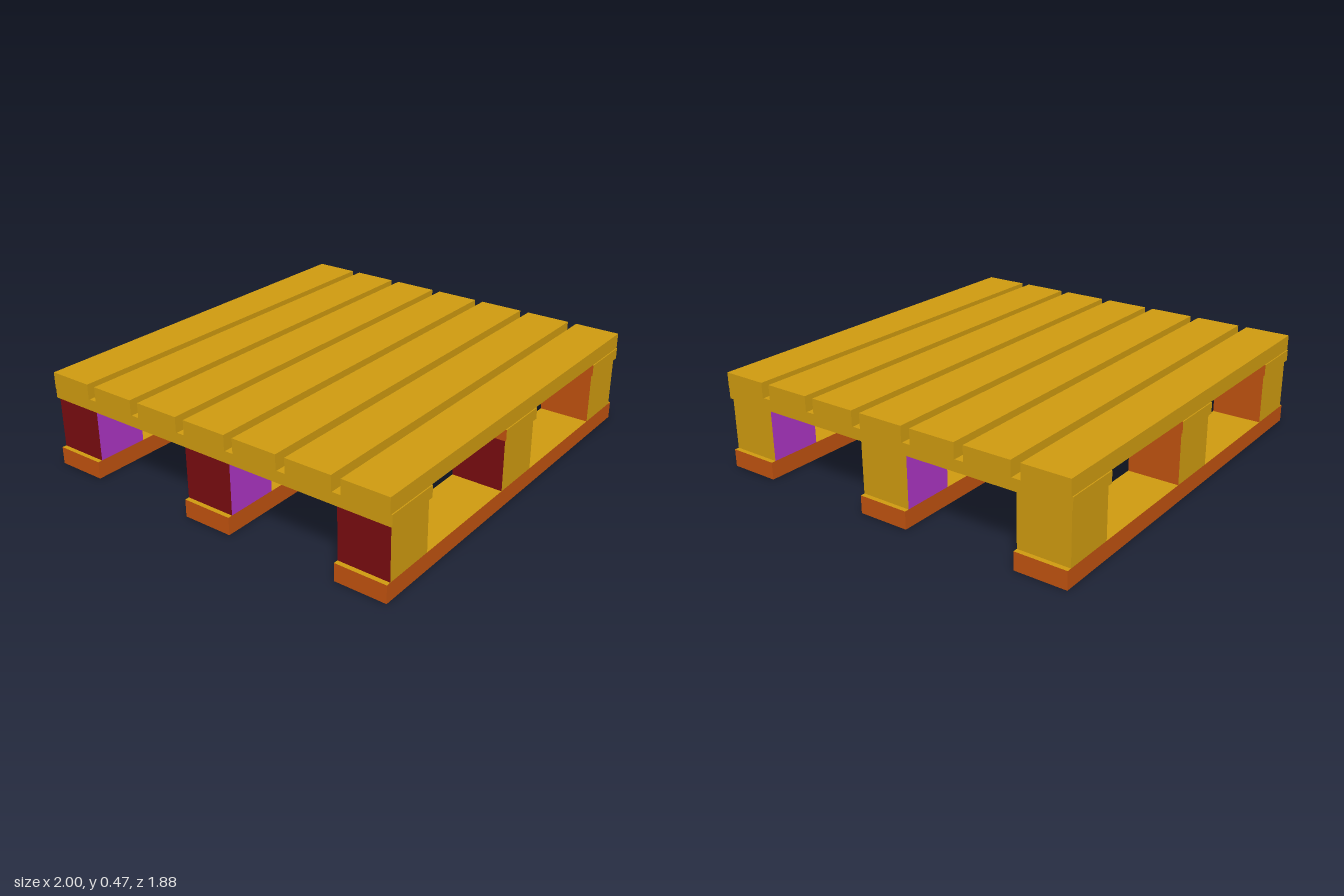
import * as THREE from 'three';

const paint = (name, color) => {
  const m = new THREE.MeshStandardMaterial({ color });
  m.name = name;
  return m;
};

export function createModel() {
  const gold = paint('gold wood', 0xcf9b10);
  const orange = paint('orange wood', 0xc0520f);
  const purple = paint('purple', 0xac35c4);
  const dark = paint('dark purple', 0x5a0e6a);
  const maroon = paint('maroon', 0x780c10);

  const model = new THREE.Group();
  model.name = 'pallet';

  // faces are ordered +x, -x, +y, -y, +z, -z
  const addBox = (name, size, x, bottom, z, faces) => {
    const mesh = new THREE.Mesh(new THREE.BoxGeometry(...size), faces);
    mesh.name = name;
    mesh.position.set(x, bottom + size[1] / 2, z);
    model.add(mesh);
  };

  const columns = [-0.85, 0, 0.85];
  const rows = [-0.803, 0, 0.803];

  // Bottom boards
  for (const z of rows) {
    addBox('bottomBoard', [2, 0.085, 0.25], 0, 0, z,
      [orange, orange, gold, dark, orange, orange]);
  }

  // Nine blocks: outward faces are gold, inner faces differ by side
  columns.forEach((x, c) => rows.forEach((z, r) => {
    addBox('block', [0.255, 0.25, 0.25], x, 0.085, z, [
      c === 2 ? gold : orange,
      c === 2 ? orange : maroon,
      gold, purple,
      r === 2 ? gold : purple,
      r === 0 ? gold : purple,
    ]);
  }));

  // Stringers running front to back
  columns.forEach((x, c) => {
    addBox('stringer', [0.273, 0.055, 1.875], x, 0.335, 0, [
      c === 2 ? gold : orange,
      c === 0 ? gold : orange,
      gold, purple, gold, gold,
    ]);
  });

  // Seven deck boards
  for (let i = -3; i <= 3; i++) {
    addBox('deckBoard', [1.984, 0.075, 0.227], 0, 0.39, i * 0.273,
      [gold, gold, gold, dark, gold, gold]);
  }

  return model;
}
